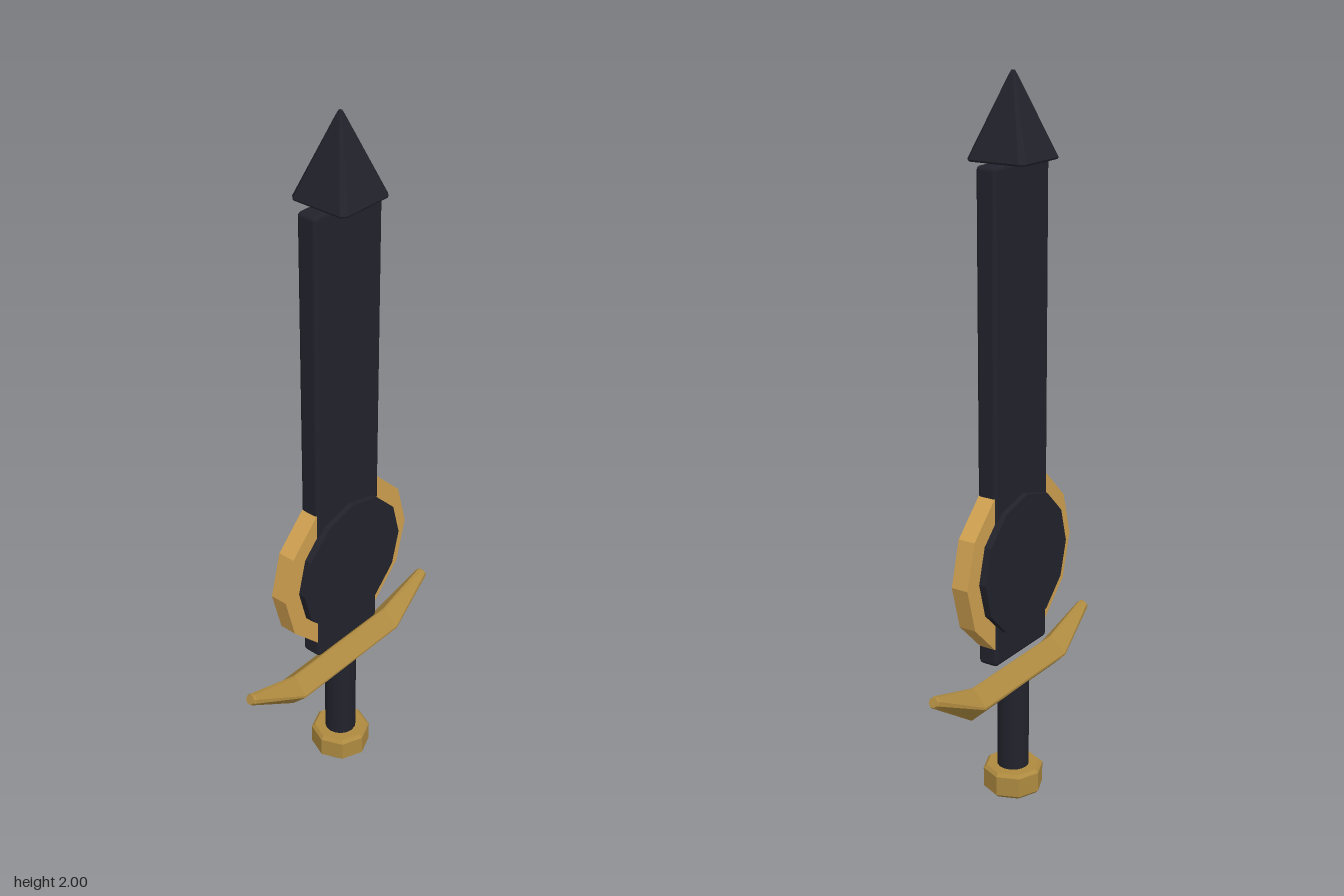
import * as THREE from 'three';
import { RoundedBoxGeometry } from 'three/addons/geometries/RoundedBoxGeometry.js';

const flat = (geometry) => {
  const g = geometry.index ? geometry.toNonIndexed() : geometry;
  g.computeVertexNormals();
  return g;
};

// Skin a row of equal-sized rings (counter-clockwise about the direction of travel) and cap both ends
function loft(rings) {
  const pos = [], n = rings[0].length;
  const tri = (a, b, c) => pos.push(...a, ...b, ...c);
  for (let r = 0; r < rings.length - 1; r++) {
    for (let i = 0; i < n; i++) {
      const j = (i + 1) % n, A = rings[r], B = rings[r + 1];
      tri(A[i], A[j], B[j]);
      tri(A[i], B[j], B[i]);
    }
  }
  const first = rings[0], last = rings[rings.length - 1];
  for (let i = 1; i < n - 1; i++) {
    tri(first[0], first[i + 1], first[i]);
    tri(last[0], last[i], last[i + 1]);
  }
  const g = new THREE.BufferGeometry();
  g.setAttribute('position', new THREE.Float32BufferAttribute(pos, 3));
  return flat(g);
}

// Square ring with cut corners, lying flat at height y
function squareRing(y, half, cut) {
  const k = half - cut;
  return [[half, k], [k, half], [-k, half], [-half, k], [-half, -k], [-k, -half], [k, -half], [half, -k]]
    .map(([x, z]) => [x, y, -z]);
}

// Diamond ring across the guard, leaning by tilt; blunt is the half width of its top and bottom edges
function guardRing(x, y, r, tilt, blunt) {
  return [[r, blunt], [blunt, r], [-blunt, r], [-r, blunt], [-r, -blunt], [-blunt, -r], [blunt, -r], [r, -blunt]]
    .map(([v, w]) => [x - v * Math.sin(tilt), y + v * Math.cos(tilt), w]);
}

export function createModel() {
  const dark = new THREE.MeshStandardMaterial({ color: 0x22222c });
  dark.name = 'dark steel';
  const gold = new THREE.MeshStandardMaterial({ color: 0xcfa050 });
  gold.name = 'bright gold';
  const brass = new THREE.MeshStandardMaterial({ color: 0xae8a40 });
  brass.name = 'old brass';

  const model = new THREE.Group();
  model.name = 'sword';
  const add = (name, geometry, material, y = 0) => {
    const mesh = new THREE.Mesh(geometry, material);
    mesh.name = name;
    mesh.position.y = y;
    model.add(mesh);
    return mesh;
  };

  // Blade and its four-sided point
  add('blade', new RoundedBoxGeometry(0.25, 1.35, 0.06, 2, 0.012), dark, 1.105);
  add('bladeTip', loft([
    squareRing(1.78, 0.085, 0.012),
    squareRing(1.785, 0.088, 0.014),
    squareRing(1.985, 0.011, 0.004),
    squareRing(2.0, 0.004, 0.0015),
  ]), dark);

  // Twelve-sided medallion through the blade
  const disc = (name, radius, depth, material) => {
    const g = new THREE.CylinderGeometry(radius, radius, depth, 12).rotateX(Math.PI / 2);
    add(name, flat(g), material, 0.7);
  };
  disc('medallionRim', 0.25, 0.05, gold);
  disc('medallionDisc', 0.197, 0.092, dark);

  // Crossguard with upswept, tapering ends
  const stations = [
    [0.2, 0.345, 0.046, 0.12, 0.003],
    [0.366, 0.424, 0.016, 0.44, 0.006],
    [0.373, 0.427, 0.013, 0.44, 0.005],
  ];
  const right = stations.map(([x, y, r, t, b]) => guardRing(x, y, r, t, b));
  const left = stations.map(([x, y, r, t, b]) => guardRing(-x, y, r, -t, b)).reverse();
  add('crossguard', loft([...left, ...right]), brass);

  // Grip
  add('grip', new THREE.CylinderGeometry(0.045, 0.045, 0.28, 16), dark, 0.2);

  // Octagonal pommel with softened rims
  const pommel = [[0, 0], [0.076, 0], [0.085, 0.009], [0.085, 0.066], [0.076, 0.075], [0, 0.075]]
    .map(([r, y]) => new THREE.Vector2(r, y));
  add('pommel', flat(new THREE.LatheGeometry(pommel, 8)), brass);

  return model;
}
